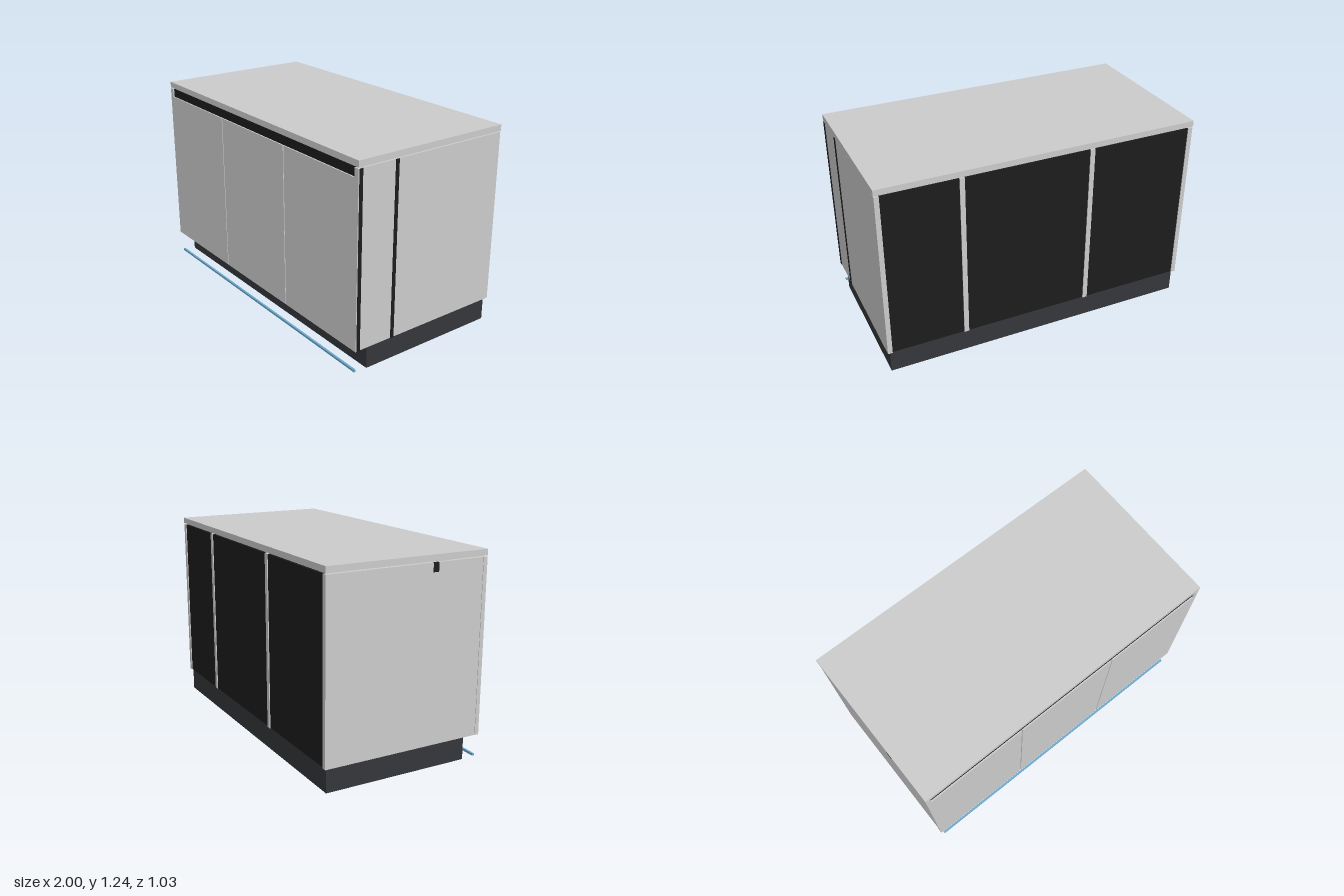
import * as THREE from 'three';

const material = (color) => new THREE.MeshStandardMaterial({ color });

export function createModel() {
  const model = new THREE.Group();
  model.name = 'cabinet';
  const grey = material(0xcccccc);
  const black = material(0x1c1c1c);
  const charcoal = material(0x34363a);
  const blue = material(0x6aa8cc);

  // Box given by its low and high limits on each axis
  const addBox = (name, mat, [x0, x1], [y0, y1], [z0, z1]) => {
    const mesh = new THREE.Mesh(new THREE.BoxGeometry(x1 - x0, y1 - y0, z1 - z0), mat);
    mesh.position.set((x0 + x1) / 2, (y0 + y1) / 2, (z0 + z1) / 2);
    mesh.name = name;
    model.add(mesh);
    return mesh;
  };

  const bottom = 0.145, top = 1.2, doorTop = 1.147;
  const height = [bottom, top];

  // Recessed base and the light strip on the floor in front of it
  addBox('plinth', charcoal, [-0.98, 0.98], [0, bottom], [-0.498, 0.42]);
  addBox('floorLightStrip', blue, [-0.98, 0.98], [0.005, 0.018], [0.495, 0.508]);

  // Dark carcass, showing at the back and through the door gaps
  addBox('carcass', black, [-0.969, 0.969], [bottom + 0.002, top - 0.002], [-0.509, 0.487]);

  // Side panels and upright partitions whose edges show at the back
  for (const side of [-1, 1]) {
    const x = side * 0.9825;
    addBox('sidePanel', grey, [x - 0.0145, x + 0.0145], height, [-0.514, 0.489]);
  }
  for (const x of [0.5, -0.311]) {
    addBox('backPartition', grey, [x - 0.015, x + 0.015], height, [-0.514, -0.48]);
  }

  // Three doors with narrow gaps
  const gap = 0.003;
  for (let i = 0; i < 3; i++) {
    const x0 = -1 + (i * 2) / 3 + (i > 0 ? gap : 0);
    const x1 = -1 + ((i + 1) * 2) / 3 - (i < 2 ? gap : 0);
    addBox('door', grey, [x0, x1], [bottom, doorTop], [0.489, 0.515]);
  }

  // Long finger-pull channel between two end blocks
  addBox('handleChannel', black, [-0.97, 0.967], [doorTop, top], [0.485, 0.507]);
  addBox('channelEnd', grey, [-1, -0.97], [doorTop, top], [0.489, 0.515]);
  addBox('channelEnd', grey, [0.967, 1], [doorTop, top], [0.489, 0.515]);

  // Dark upright strips on the left side, small tab on the right side
  for (const [z0, z1] of [[0.486, 0.51], [0.244, 0.266]]) {
    addBox('sideStrip', black, [0.985, 1.001], height, [z0, z1]);
  }
  addBox('sideTab', black, [-1, -0.985], [doorTop, top], [0.15, 0.185]);

  // Worktop resting on a thin spacer
  addBox('spacer', grey, [-0.98, 0.98], [top, 1.207], [0.19, 0.272]);
  addBox('worktop', grey, [-1, 1], [1.207, 1.244], [-0.515, 0.515]);

  return model;
}
